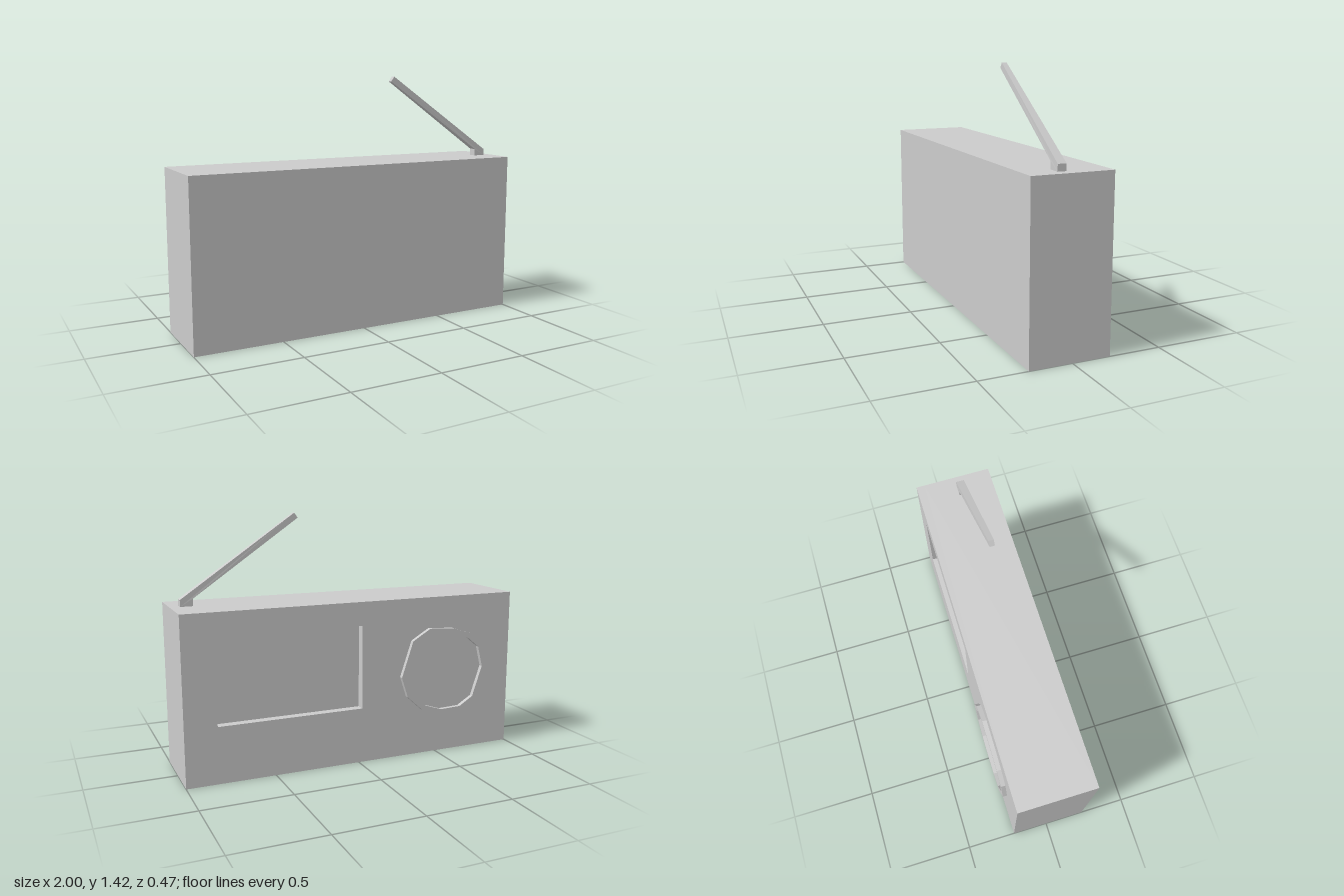
import * as THREE from 'three';

const material = new THREE.MeshStandardMaterial({ color: 0xcccccc, flatShading: true });

const W = 2, H = 0.935;
const FRONT = 0.235, BACK = -0.21, RECESS = 0.05, RIM = 0.025;

function addMesh(group, name, geometry) {
  const mesh = new THREE.Mesh(geometry, material);
  mesh.name = name;
  group.add(mesh);
  return mesh;
}

const toVectors = (pairs) => pairs.map(([x, y]) => new THREE.Vector2(x, y));

function extrude(shape, depth, z) {
  return new THREE.ExtrudeGeometry(shape, { depth, bevelEnabled: false }).translate(0, 0, z);
}

export function createModel() {
  const group = new THREE.Group();

  // Main case, ending at the floor of the display recess
  const caseDepth = FRONT - BACK - RECESS;
  addMesh(group, 'case', new THREE.BoxGeometry(W, H, caseDepth)
    .translate(0, H / 2, FRONT - caseDepth / 2));

  // Face plate with the rectangular display opening
  const plate = new THREE.Shape(toVectors([[-1, 0], [1, 0], [1, H], [-1, H]]));
  plate.holes.push(new THREE.Path(toVectors([[-0.02, 0.32], [-0.02, 0.8], [0.82, 0.8], [0.82, 0.32]])));
  addMesh(group, 'facePlate', extrude(plate, RECESS, BACK));

  // Slightly uneven twelve-sided speaker rim
  const outline = [
    [-0.26, 0.48], [-0.33, 0.69], [-0.44, 0.755], [-0.6, 0.745], [-0.72, 0.705], [-0.8, 0.64],
    [-0.835, 0.5], [-0.765, 0.295], [-0.665, 0.235], [-0.52, 0.23], [-0.4, 0.27], [-0.3, 0.36],
  ];
  const cx = -0.55, cy = 0.49, inner = 0.88;
  const rim = new THREE.Shape(toVectors(outline));
  rim.holes.push(new THREE.Path(toVectors(
    outline.map(([x, y]) => [cx + (x - cx) * inner, cy + (y - cy) * inner]))));
  addMesh(group, 'speakerRim', extrude(rim, RIM, BACK - RIM));

  // Slanted antenna with its foot, narrowing in depth toward the tip
  const profile = new THREE.Shape(toVectors([
    [0.875, H], [0.945, H], [0.945, 0.972], [0.29, 1.42], [0.27, 1.392], [0.875, 0.975],
  ]));
  const antenna = extrude(profile, 1, -0.5);
  const pos = antenna.attributes.position;
  for (let i = 0; i < pos.count; i++) {
    const t = THREE.MathUtils.clamp((pos.getX(i) - 0.27) / 0.605, 0, 1);
    pos.setZ(i, 0.045 + pos.getZ(i) * THREE.MathUtils.lerp(0.028, 0.047, t));
  }
  antenna.computeVertexNormals();
  addMesh(group, 'antenna', antenna);

  return group;
}
